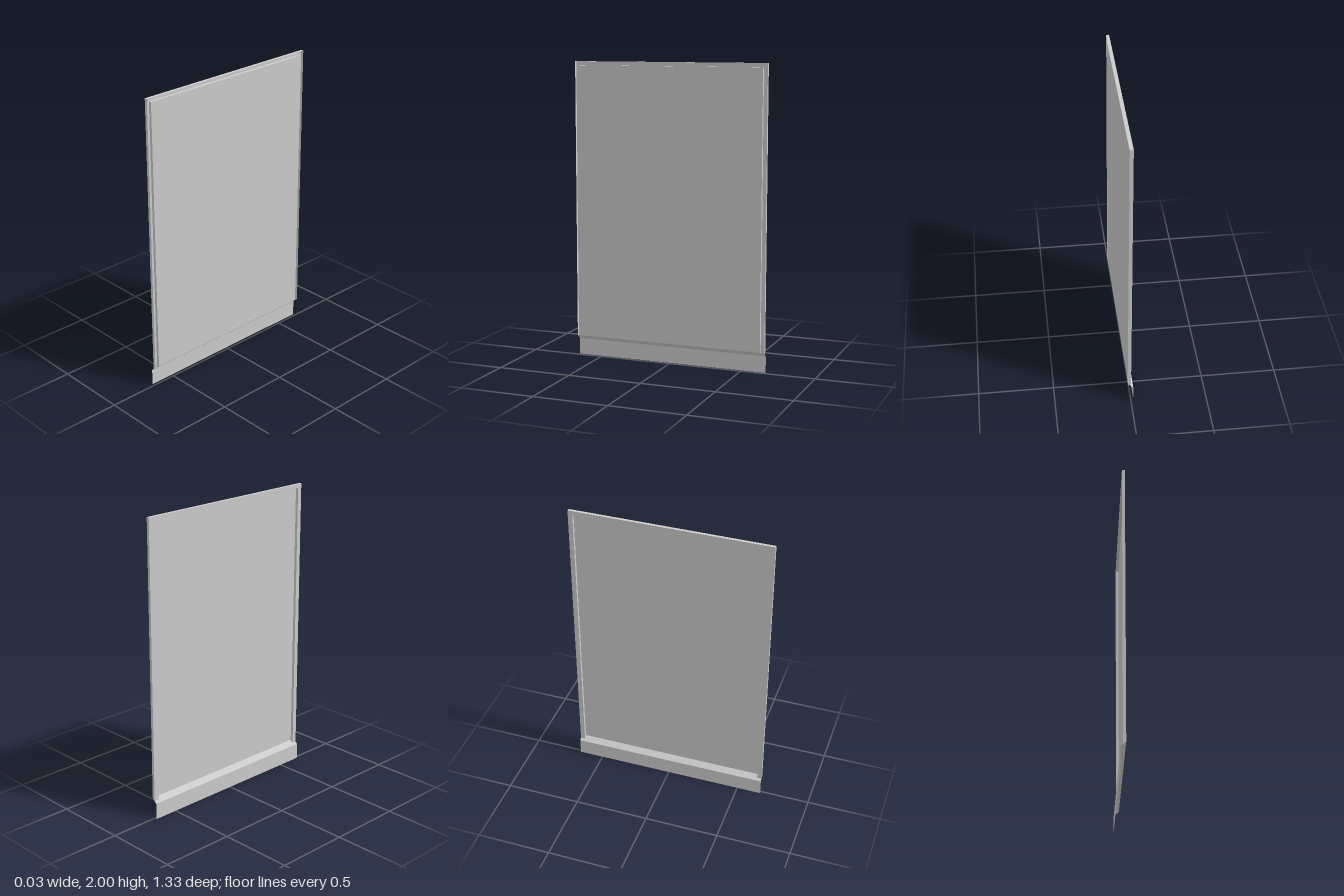
import * as THREE from 'three';

const W = 0.666, TOP = 2;            // outer half width and height
const IW = 0.635, ITOP = 1.973;      // raised panel half width and height
const SILL_X = 0.017, SILL_Y = 0.14, FLAP_Y = 0.11, DEPTH = 0.019;

// the sheet leans back slightly; d is the depth behind its front plane
const leanX = (y, d) => SILL_X - 0.0026 * (y - SILL_Y) - d;

// three-sided outline (up, across, down), open along the sloping sill
function outline(w, top, d) {
  const bottom = SILL_Y - d * (SILL_Y - FLAP_Y) / (2 * SILL_X);
  return [[bottom, w], [top, w], [top, -w], [bottom, -w]]
    .map(([y, z]) => new THREE.Vector3(leanX(y, d), y, z));
}

// flat-faced strip between two matching rows of points
function strip(name, a, b, material) {
  const pts = [];
  for (let i = 0; i + 1 < a.length; i++) {
    pts.push(a[i], b[i], b[i + 1], a[i], b[i + 1], a[i + 1]);
  }
  const geometry = new THREE.BufferGeometry().setFromPoints(pts);
  geometry.computeVertexNormals();
  const mesh = new THREE.Mesh(geometry, material);
  mesh.name = name;
  return mesh;
}

export function createModel() {
  const group = new THREE.Group();
  group.name = 'foldedPanel';
  const material = new THREE.MeshStandardMaterial({
    color: 0xcccccc, flatShading: true, side: THREE.DoubleSide,
  });

  // channel-shaped border: outer rim, groove floor, wall of the raised panel
  const rimFront = outline(W, TOP, 0);
  const rimBack = outline(W, TOP, DEPTH);
  const wallBack = outline(IW, ITOP, DEPTH);
  const wallFront = outline(IW, ITOP, 0);
  group.add(strip('outerRim', rimBack, rimFront, material));
  group.add(strip('grooveFloor', wallBack, rimBack, material));
  group.add(strip('panelWall', wallFront, wallBack, material));

  // raised main panel
  const [a, b, c, d] = wallFront;
  group.add(strip('mainPanel', [b, c], [a, d], material));

  // sloping sill and the flap hanging from it
  const row = (x, y) => [W, -W].map((z) => new THREE.Vector3(x, y, z));
  const fold = row(-SILL_X, FLAP_Y);
  group.add(strip('sill', row(SILL_X, SILL_Y), fold, material));
  group.add(strip('bottomFlap', fold, row(-SILL_X, 0), material));
  return group;
}
